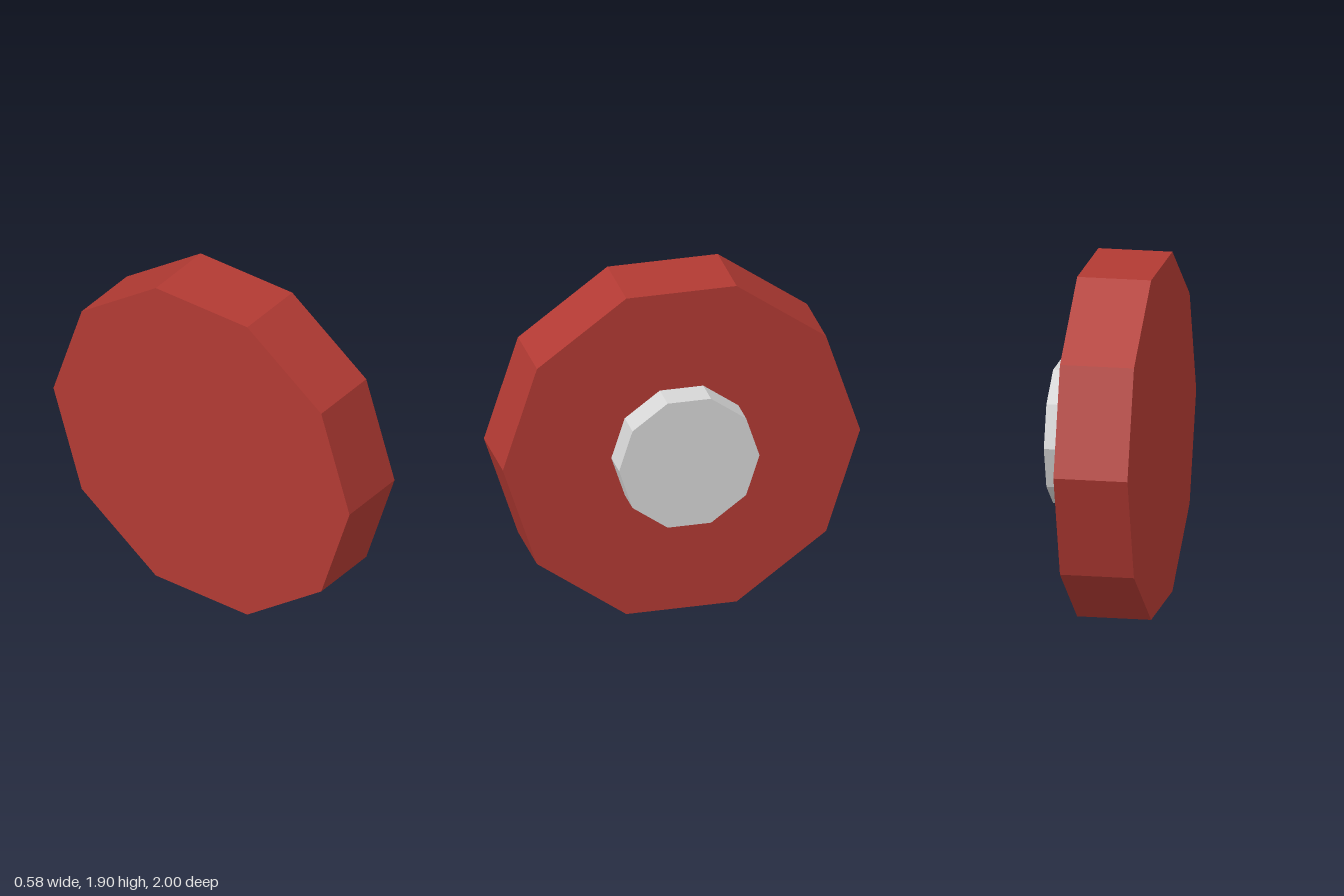
import * as THREE from 'three';

const SIDES = 10;
const CENTER_Y = Math.cos(Math.PI / SIDES); // lowest flat rests on the ground

export function createModel() {
  const red = new THREE.MeshStandardMaterial({ color: 0xb23a33, flatShading: true });
  red.name = 'red';
  const lightGrey = new THREE.MeshStandardMaterial({ color: 0xd6d6d6, flatShading: true });
  lightGrey.name = 'light grey';

  const model = new THREE.Group();
  model.name = 'wheel';

  // Ten-sided disc lying along x between x0 and x1, with corners at +z and -z
  function addDisc(name, radius, x0, x1, material) {
    const geometry = new THREE.CylinderGeometry(radius, radius, x1 - x0, SIDES);
    geometry.rotateZ(-Math.PI / 2);
    const mesh = new THREE.Mesh(geometry, material);
    mesh.name = name;
    mesh.position.set((x0 + x1) / 2, CENTER_Y, 0);
    model.add(mesh);
  }

  // Thick wheel body
  addDisc('wheelBody', 1, -0.288, 0.12, red);
  // Hub standing out on the left side
  addDisc('hub', 0.393, 0.12, 0.288, lightGrey);

  return model;
}
